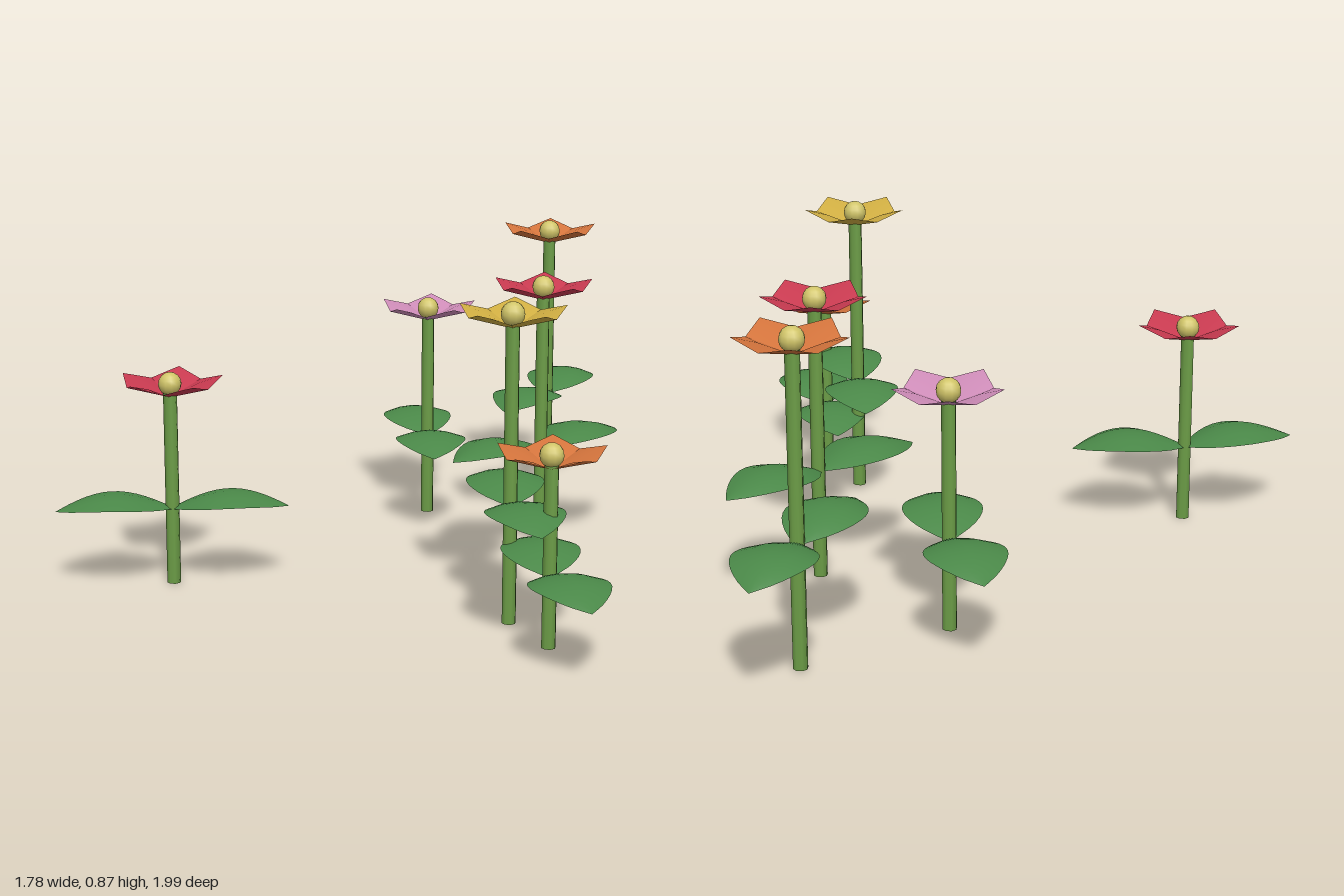
import * as THREE from 'three';
import { mergeVertices } from 'three/addons/utils/BufferGeometryUtils.js';

const mat = (name, color, side = THREE.FrontSide) => {
  const m = new THREE.MeshStandardMaterial({ color, side });
  m.name = name;
  return m;
};

function surface(points, index) {
  const g = new THREE.BufferGeometry();
  g.setAttribute('position', new THREE.Float32BufferAttribute(points, 3));
  g.setIndex(index);
  g.computeVertexNormals();
  return g;
}

// Arched leaf growing along +x, with drooping edges
function leafGeometry() {
  const profile = new THREE.SplineCurve([
    [0, 0.012], [0.055, 0.065], [0.11, 0.096], [0.165, 0.103],
    [0.22, 0.085], [0.275, 0.047], [0.32, 0],
  ].map(([x, w]) => new THREE.Vector2(x, w)));
  const rows = 14, cols = 5, points = [], index = [];
  for (let i = 0; i <= rows; i++) {
    const p = profile.getPoint(i / rows);
    const arch = 0.044 * Math.sin(Math.PI * p.x / 0.325);
    for (let j = 0; j < cols; j++) {
      const s = j / 2 - 1;
      points.push(p.x, arch - 0.2 * p.y * s * s, s * p.y);
      if (i < rows && j < cols - 1) {
        const a = i * cols + j, b = a + cols;
        index.push(a, a + 1, b, a + 1, b + 1, b);
      }
    }
  }
  return surface(points, index);
}

// Kite-shaped petal pointing along +x, raised along its middle
function petalGeometry() {
  const a = Math.PI / 5, e = 0.117;
  const ex = e * Math.cos(a), ez = e * Math.sin(a);
  return surface([
    0, 0, 0,
    ex, 0.032, ez,
    0.145, 0.055, 0,
    ex, 0.032, -ez,
    0.08, 0.036, 0,
  ], [0, 1, 4, 1, 2, 4, 2, 3, 4, 3, 0, 4]);
}

// Stem with normals shared between side and caps
function stemGeometry(height) {
  const g = new THREE.CylinderGeometry(0.019, 0.019, height, 8);
  g.deleteAttribute('normal');
  g.deleteAttribute('uv');
  const merged = mergeVertices(g);
  merged.computeVertexNormals();
  return merged.translate(0, height / 2, 0);
}

export function createModel() {
  const model = new THREE.Group();
  model.name = 'flowers';
  const stemMat = mat('stemGreen', 0x6b9c46);
  const leafMat = mat('leafGreen', 0x4a8848, THREE.DoubleSide);
  const centreMat = mat('centreYellow', 0xd0c468);
  const red = mat('petalRed', 0xc83a50, THREE.DoubleSide);
  const pink = mat('petalPink', 0xce8cb8, THREE.DoubleSide);
  const orange = mat('petalOrange', 0xd4743c, THREE.DoubleSide);
  const yellow = mat('petalYellow', 0xd0ae42, THREE.DoubleSide);

  const leafGeo = leafGeometry();
  const petalGeo = petalGeometry();
  const centreGeo = new THREE.SphereGeometry(0.032, 12, 8);

  // x, z, blossom height, angle of each leaf in degrees, petal colour
  const flowers = [
    [-0.567, -0.08, 0.525, 182.7, 11.6, red],
    [0.288, -0.617, 0.595, -88.2, 100.4, pink],
    [0.70, -0.73, 0.797, -56.8, 130, orange],
    [0.515, -0.18, 0.729, -29.4, 156.7, red],
    [0.24, 0.46, 0.786, 92, -79.4, yellow],
    [0.285, 0.668, 0.467, 88.6, -82, orange],
  ];

  for (const [x, z, height, leafA, leafB, petalMat] of flowers) {
    const flower = new THREE.Group();
    flower.name = 'flower';
    flower.position.set(x, 0, z);
    const add = (name, geo, material, y, turn = 0) => {
      const m = new THREE.Mesh(geo, material);
      m.name = name;
      m.position.y = y;
      m.rotation.y = turn;
      flower.add(m);
    };
    add('stem', stemGeometry(height + 0.015), stemMat, 0);
    for (const angle of [leafA, leafB]) {
      add('leaf', leafGeo, leafMat, height * 0.41, -THREE.MathUtils.degToRad(angle));
    }
    for (let k = 0; k < 5; k++) add('petal', petalGeo, petalMat, height, k * Math.PI * 0.4);
    add('flowerCentre', centreGeo, centreMat, height + 0.038);
    model.add(flower);
  }
  return model;
}
